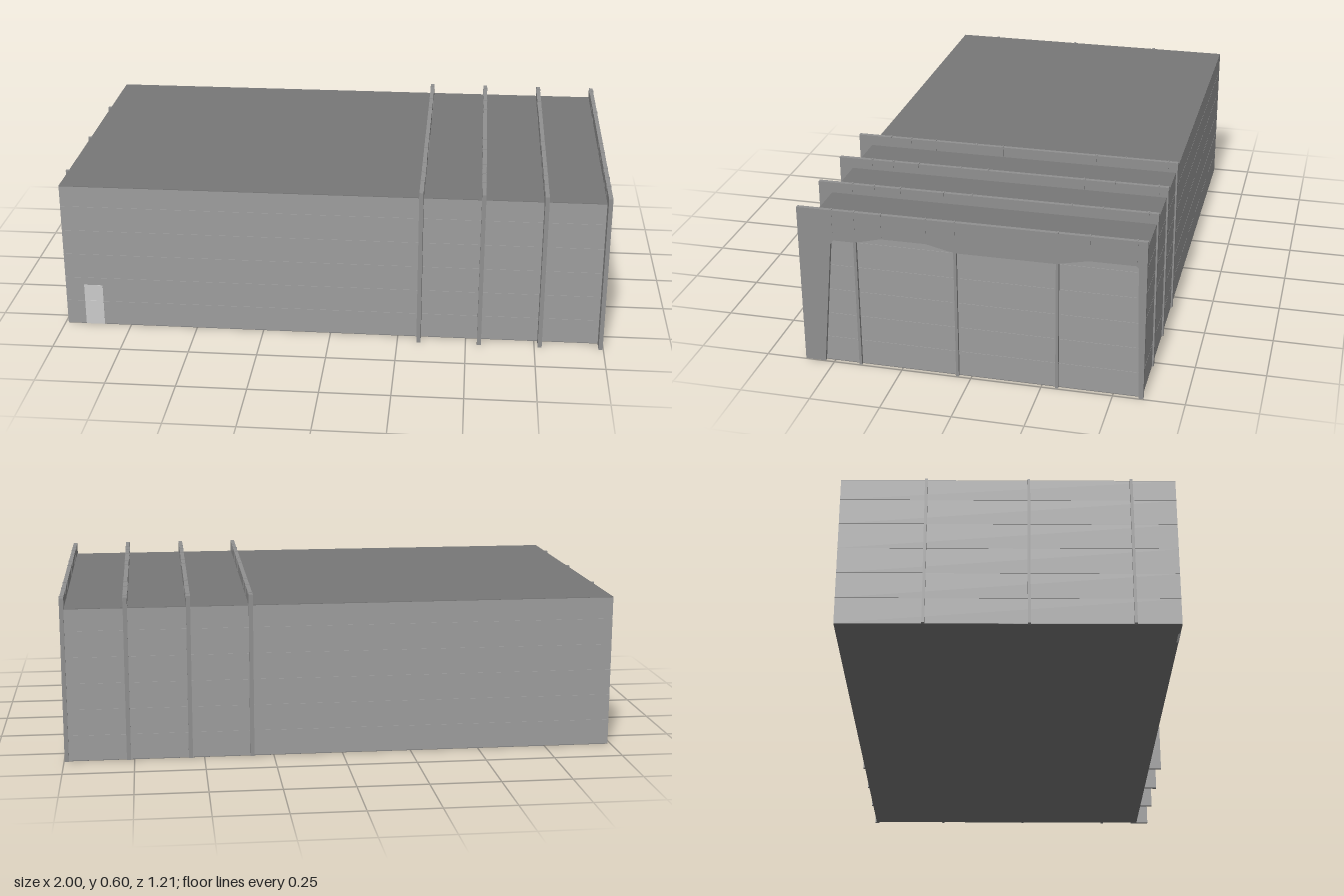
import * as THREE from 'three';

export function createModel() {
  const model = new THREE.Group();
  const wallGrey = new THREE.MeshStandardMaterial({ color: 0x9d9d9d });
  const slabGrey = new THREE.MeshStandardMaterial({ color: 0x777777 });
  const frameGrey = new THREE.MeshStandardMaterial({ color: 0x909090 });
  const doorGrey = new THREE.MeshStandardMaterial({ color: 0xcccccc });

  // box given by its min and max corners
  function box(name, material, x0, x1, y0, y1, z0, z1) {
    const mesh = new THREE.Mesh(new THREE.BoxGeometry(x1 - x0, y1 - y0, z1 - z0), material);
    mesh.position.set((x0 + x1) / 2, (y0 + y1) / 2, (z0 + z1) / 2);
    mesh.name = name;
    model.add(mesh);
  }

  // hall: inner core with six courses of cladding, separated by fine grooves
  const height = 0.555, slab = 0.002, courses = 6, step = 0.095, groove = 0.001;
  box('hallCore', wallGrey, -0.987, 0.983, slab, height - slab, -0.598, 0.555);
  for (let i = 0; i < courses; i++) {
    const bottom = i === 0 ? slab : i * step + groove;
    const top = i === courses - 1 ? height - slab : (i + 1) * step - groove;
    box('claddingCourse', wallGrey, -0.989, 0.985, bottom, top, -0.6, 0.557);
  }

  // dark floor and roof
  box('floor', slabGrey, -0.989, 0.985, 0, slab, -0.6, 0.557);
  box('roof', slabGrey, -0.989, 0.985, height - slab, height, -0.6, 0.557);

  // door in two leaves, almost flush with the front wall
  box('doorLower', doorGrey, -0.92, -0.85, 0, 0.0945, 0.55, 0.558);
  box('doorUpper', doorGrey, -0.92, -0.85, 0.0955, 0.16, 0.55, 0.558);

  // portal frame profile, drawn as (-z, y) and open at the bottom
  const opening = [
    [0.59, 0], [0.577, 0.495], [0.57, 0.503], [0.41, 0.503], [0.3, 0.48], [-0.05, 0.48],
    [-0.15, 0.503], [-0.31, 0.503], [-0.4, 0.48], [-0.478, 0.48], [-0.49, 0.465], [-0.533, 0],
  ];
  const outline = [[-0.606, 0], [-0.606, 0.593], [0.606, 0.593], [0.606, 0], ...opening];
  const profile = new THREE.Shape(outline.map(([u, y]) => new THREE.Vector2(u, y)));
  const thickness = 0.015;
  const frameGeometry = new THREE.ExtrudeGeometry(profile, { depth: thickness, bevelEnabled: false });
  frameGeometry.translate(0, 0, -thickness / 2);
  frameGeometry.rotateY(Math.PI / 2);

  // four frames, each with thin joint plates along the roof beam
  const joints = [0.483, 0.403, 0.308, 0.15, 0.049, -0.304, -0.413, -0.57];
  for (const x of [0.328, 0.549, 0.77, 0.99]) {
    const frame = new THREE.Mesh(frameGeometry, frameGrey);
    frame.position.x = x;
    frame.name = 'portalFrame';
    model.add(frame);
    for (const z of joints) {
      box('jointPlate', frameGrey, x - 0.0085, x + 0.0085, 0.51, 0.595, z - 0.003, z + 0.003);
    }
  }

  // posts on both end walls
  for (const z of [0.403, 0.049, -0.304]) {
    box('rightEndPost', frameGrey, 0.98, 0.996, 0, 0.485, z - 0.005, z + 0.005);
    box('leftEndPost', frameGrey, -1, -0.985, 0, height, z - 0.005, z + 0.005);
  }
  return model;
}
